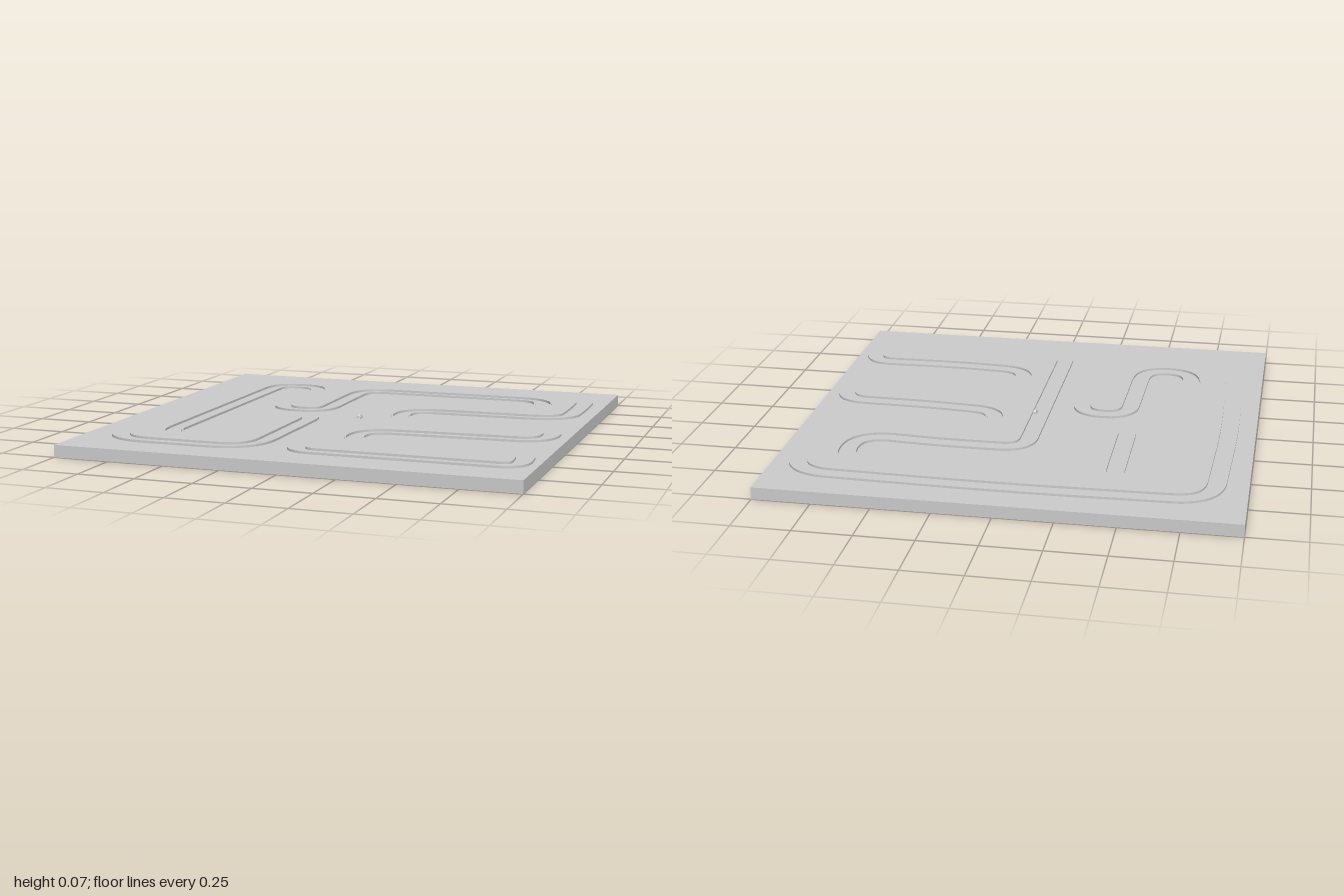
import * as THREE from 'three';
import { toCreasedNormals } from 'three/addons/utils/BufferGeometryUtils.js';

const BASE_TOP = 0.053;
const material = new THREE.MeshStandardMaterial({ color: 0xcccccc });

// Corners of the circuit's centre line: x, z, corner size
const corners = [
  [-0.025, 0.785, 0.1], [-0.025, -0.41, 0.11], [0.35, -0.412, 0.1], [0.72, -0.385, 0.18],
  [0.72, -0.69, 0.15], [0.3, -0.69, 0.1], [-0.215, -0.685, 0.13],
  [-0.215, -0.095, 0.11], [-0.44, -0.095, 0.11], [-0.44, -0.7, 0.11], [-0.67, -0.7, 0.11],
  [-0.67, 0.635, 0.14], [-0.425, 0.635, 0.14], [-0.415, 0.037, 0.11], [-0.2, 0.037, 0.11],
  [-0.2, 0.795, 0.18], [-0.85, 0.795, 0.18], [-0.885, 0, 0.3], [-0.86, -0.81, 0.17],
  [0, -0.83, 0.3], [0.89, -0.81, 0.17], [0.9, -0.5, 0.15], [0.89, -0.255, 0.18], [0.5, -0.243, 0.1],
  [0.165, -0.235, 0.15], [0.165, -0.01, 0.12], [0.5, 0.015, 0.1], [0.913, 0.02, 0.12],
  [0.913, 0.26, 0.12], [0.5, 0.28, 0.1], [0.13, 0.3, 0.14], [0.13, 0.535, 0.14],
  [0.5, 0.555, 0.1], [0.91, 0.545, 0.1], [0.93, 0.785, 0.09], [0.4, 0.785, 0.1],
];

// Closed centre line with each corner rounded by a quadratic curve
function centreLine() {
  const pts = [];
  const n = corners.length;
  const at = (i) => new THREE.Vector2(corners[(i + n) % n][0], -corners[(i + n) % n][1]);
  for (let i = 0; i < n; i++) {
    const p = at(i), a = at(i - 1), b = at(i + 1);
    const cut = (q) => {
      const d = p.distanceTo(q);
      return p.clone().lerp(q, Math.min(corners[i][2], d * 0.49) / d);
    };
    pts.push(...new THREE.QuadraticBezierCurve(cut(a), p, cut(b)).getPoints(14));
  }
  return pts;
}

// The same line moved sideways
function offset(line, d) {
  const n = line.length;
  return line.map((p, i) => {
    const t = line[(i + 1) % n].clone().sub(line[(i + n - 1) % n]).normalize();
    return new THREE.Vector2(p.x - t.y * d, p.y + t.x * d);
  });
}

// A thin raised border between two sideways offsets
function border(name, line, d) {
  const loops = [offset(line, d - 0.0035), offset(line, d + 0.0035)];
  loops.sort((a, b) => Math.abs(THREE.ShapeUtils.area(b)) - Math.abs(THREE.ShapeUtils.area(a)));
  const shape = new THREE.Shape(loops[0]);
  shape.holes.push(new THREE.Path(loops[1]));
  const geo = new THREE.ExtrudeGeometry(shape, { depth: 0.011, bevelEnabled: false });
  geo.rotateX(-Math.PI / 2);
  const mesh = new THREE.Mesh(toCreasedNormals(geo, 0.6), material);
  mesh.name = name;
  mesh.position.y = BASE_TOP - 0.001;
  return mesh;
}

function box(name, w, h, d, x, y, z) {
  const mesh = new THREE.Mesh(new THREE.BoxGeometry(w, h, d), material);
  mesh.name = name;
  mesh.position.set(x, y, z);
  return mesh;
}

// Tiny car on the long straight
function createCar() {
  const car = new THREE.Group();
  car.name = 'car';
  car.add(box('carBody', 0.014, 0.007, 0.036, 0, 0.0065, 0));
  const cabinGeo = new THREE.CylinderGeometry(0.35, 0.7071, 1, 4).rotateY(Math.PI / 4).toNonIndexed();
  cabinGeo.computeVertexNormals();
  const cabin = new THREE.Mesh(cabinGeo, material);
  cabin.name = 'carCabin';
  cabin.scale.set(0.013, 0.008, 0.02);
  cabin.position.y = 0.014;
  car.add(cabin);
  for (const x of [-0.008, 0.008]) for (const z of [-0.011, 0.011]) {
    const wheel = new THREE.Mesh(new THREE.CylinderGeometry(0.004, 0.004, 0.004, 12).rotateZ(Math.PI / 2), material);
    wheel.name = 'wheel';
    wheel.position.set(x, 0.004, z);
    car.add(wheel);
  }
  car.position.y = BASE_TOP;
  return car;
}

export function createModel() {
  const model = new THREE.Group();
  model.name = 'raceCircuit';
  const line = centreLine();
  model.add(box('ground', 2, BASE_TOP, 2, 0, BASE_TOP / 2, 0));
  model.add(border('innerBorder', line, -0.0385), border('outerBorder', line, 0.0385));
  model.add(createCar());
  return model;
}
